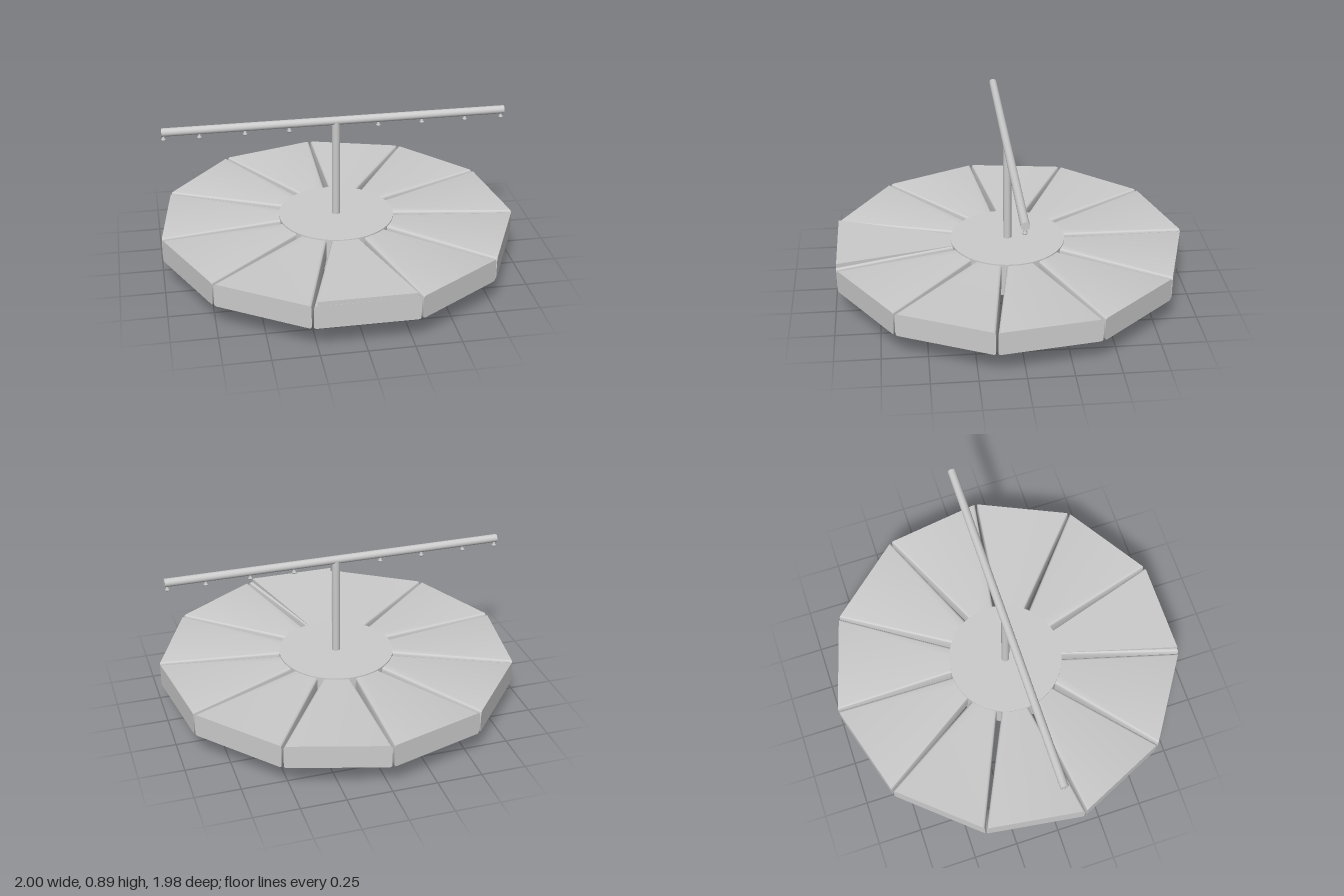
import * as THREE from 'three';
import { toCreasedNormals } from 'three/addons/utils/BufferGeometryUtils.js';

const mat = new THREE.MeshStandardMaterial({ color: 0xcccccc });
const CZ = 0.012; // centre of the table in z

function add(parent, name, geometry, x = 0, y = 0, z = 0) {
  const mesh = new THREE.Mesh(geometry, mat);
  mesh.name = name;
  mesh.position.set(x, y, z);
  parent.add(mesh);
  return mesh;
}

// Closed loft along +z; each section is a counter-clockwise ring of [x, y] points
function loft(sections) {
  const n = sections[0].ring.length;
  const pos = [], idx = [];
  sections.forEach(({ ring, z }) => ring.forEach(([x, y]) => pos.push(x, y, z)));
  for (let s = 0; s < sections.length - 1; s++) {
    for (let i = 0; i < n; i++) {
      const a = s * n + i, b = s * n + (i + 1) % n;
      idx.push(a, b, b + n, a, b + n, a + n);
    }
  }
  const last = (sections.length - 1) * n;
  for (let i = 1; i < n - 1; i++) {
    idx.push(0, i + 1, i);
    idx.push(last, last + i, last + i + 1);
  }
  const g = new THREE.BufferGeometry();
  g.setAttribute('position', new THREE.Float32BufferAttribute(pos, 3));
  g.setIndex(idx);
  return toCreasedNormals(g, 0.6);
}

// Rounded rectangle ring
function roundedRing(halfWidth, bottom, top, r) {
  const ring = [];
  const corners = [[1, top - r, 0], [-1, top - r, 1], [-1, bottom + r, 2], [1, bottom + r, 3]];
  for (const [side, y, quarter] of corners) {
    for (let i = 0; i <= 4; i++) {
      const a = (quarter + i / 4) * Math.PI / 2;
      ring.push([side * (halfWidth - r) + r * Math.cos(a), y + r * Math.sin(a)]);
    }
  }
  return ring;
}

const boxRing = (w, bottom, top) => [[w, bottom], [w, top], [-w, top], [-w, bottom]];

export function createModel() {
  const model = new THREE.Group();
  model.name = 'rotaryTable';

  // Ring of wedge segments with narrow gaps between them
  const segments = new THREE.Group();
  segments.name = 'segments';
  segments.position.z = CZ;
  model.add(segments);
  const wedge = loft([
    { ring: roundedRing(0.041, 0.152, 0.285, 0.014), z: 0.2 },
    { ring: roundedRing(0.279, 0.152, 0.285, 0.014), z: 0.97 },
  ]);
  const count = 11;
  for (let k = 0; k < count; k++) {
    add(segments, 'wedgeSegment', wedge).rotation.y = k * 2 * Math.PI / count;
  }

  // Thin sloping plate on the front segment
  add(segments, 'frontPlate', loft([
    { ring: boxRing(0.065, 0.27, 0.286), z: 0.3 },
    { ring: boxRing(0.26, 0.27, 0.31), z: 0.969 },
  ]));

  // Central hub and upright pipe
  add(model, 'hub', new THREE.CylinderGeometry(0.327, 0.327, 0.194, 64), 0, 0.195, CZ);
  add(model, 'uprightPipe', new THREE.CylinderGeometry(0.023, 0.023, 0.86, 32), 0, 0.43, CZ);

  // Overhead spray boom
  add(model, 'boom', new THREE.CylinderGeometry(0.023, 0.023, 1.92, 32), 0, 0.865, CZ)
    .rotation.z = Math.PI / 2;

  // Nozzles: short neck flaring to a small tip
  const nozzle = new THREE.LatheGeometry([
    [0, 0], [0.013, 0], [0.013, 0.006], [0.007, 0.014], [0.007, 0.03],
  ].map(([x, y]) => new THREE.Vector2(x, y)), 16);
  for (const x of [-0.95, -0.755, -0.505, -0.26, 0.24, 0.488, 0.735, 0.945]) {
    add(model, 'nozzle', nozzle, x, 0.819, CZ);
  }
  return model;
}
